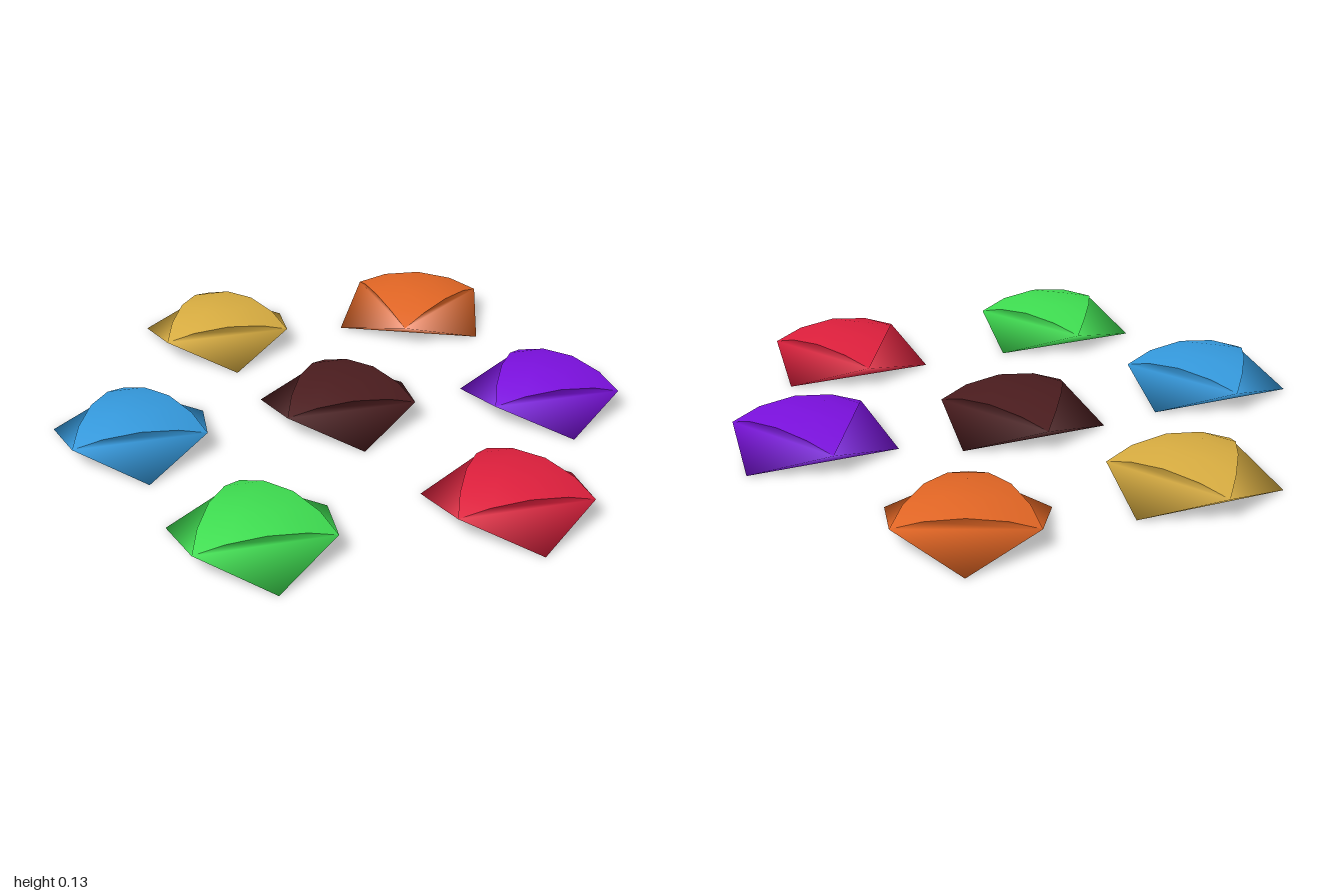
import * as THREE from 'three';
import { mergeVertices } from 'three/addons/utils/BufferGeometryUtils.js';

const SEG = 4;                       // subdivisions of the domed top
const R = 0.411, SQUASH = 0.79;      // sphere behind the dome, flattened in y
const TOP = 0.133;                   // height of the dome
const TIP_RADIUS = 0.287;            // lower tips, resting on the ground
const CORNER_RADIUS = 0.607;         // dome corners on the unit sphere

const around = (r, y, deg) => {
  const a = THREE.MathUtils.degToRad(deg);
  return new THREE.Vector3(r * Math.cos(a), y, r * Math.sin(a));
};

function smoothGeometry(triangles) {
  const geo = new THREE.BufferGeometry().setFromPoints(triangles.flat());
  const merged = mergeVertices(geo, 1e-5);
  merged.computeVertexNormals();
  return merged;
}

// Point of the dome from weights of its three corners
const unitCorners = [-60, 60, 180].map((d) => around(CORNER_RADIUS, Math.sqrt(1 - CORNER_RADIUS ** 2), d));
function domePoint(a, b, c) {
  const p = new THREE.Vector3();
  [a, b, c].forEach((w, i) => p.addScaledVector(unitCorners[i], w / SEG));
  p.normalize();
  return new THREE.Vector3(p.x * R, TOP - (1 - p.y) * R * SQUASH, p.z * R);
}

// Domed triangular cap
function domeGeometry() {
  const tris = [];
  const at = (i, j) => domePoint(SEG - i - j, i, j);
  for (let i = 0; i < SEG; i++) {
    for (let j = 0; j < SEG - i; j++) {
      tris.push([at(i, j), at(i, j + 1), at(i + 1, j)]);
      if (i + j < SEG - 1) tris.push([at(i + 1, j), at(i, j + 1), at(i + 1, j + 1)]);
    }
  }
  return smoothGeometry(tris);
}

// Lower body: dome rims, sloping skirts, undercut sides and flat base
function bodyGeometry() {
  const tips = [0, 120, 240].map((d) => around(TIP_RADIUS, 0, d));
  const tris = [[tips[0], tips[1], tips[2]]];
  for (let k = 0; k < 3; k++) {
    const edge = [];
    for (let i = 0; i <= SEG; i++) {
      const w = [0, 0, 0];
      w[k] = SEG - i;
      w[(k + 1) % 3] = i;
      edge.push(domePoint(...w));
    }
    const from = edge[0], to = edge[SEG];
    for (let i = 1; i < SEG; i++) tris.push([from, edge[i], edge[i + 1]]);
    tris.push([from, to, tips[k]]);
    tris.push([to, tips[(k + 1) % 3], tips[k]]);
  }
  return smoothGeometry(tris);
}

export function createModel() {
  const group = new THREE.Group();
  const dome = domeGeometry();
  const body = bodyGeometry();

  // name, colour, x, z, turn
  const gems = [
    ['yellowGem', 0xd6ab40, 0.077, -0.752, 0.03],
    ['blueGem', 0x3498db, -0.606, -0.359, 0.03],
    ['orangeGem', 0xe06524, 0.714, -0.41, 0.67],
    ['darkGem', 0x4a1c1e, 0.024, -0.052, 0.03],
    ['greenGem', 0x3edc50, -0.706, 0.366, 0.03],
    ['purpleGem', 0x7a10dc, 0.574, 0.355, 0.03],
    ['redGem', 0xdc1f3c, -0.013, 0.747, 0.03],
  ];
  for (const [name, color, x, z, turn] of gems) {
    const gem = new THREE.Group();
    gem.name = name;
    const material = new THREE.MeshStandardMaterial({ color, side: THREE.DoubleSide });
    for (const [part, geo] of [['dome', dome], ['body', body]]) {
      const mesh = new THREE.Mesh(geo, material);
      mesh.name = part;
      gem.add(mesh);
    }
    gem.position.set(x, 0, z);
    gem.rotation.y = turn;
    group.add(gem);
  }
  return group;
}
